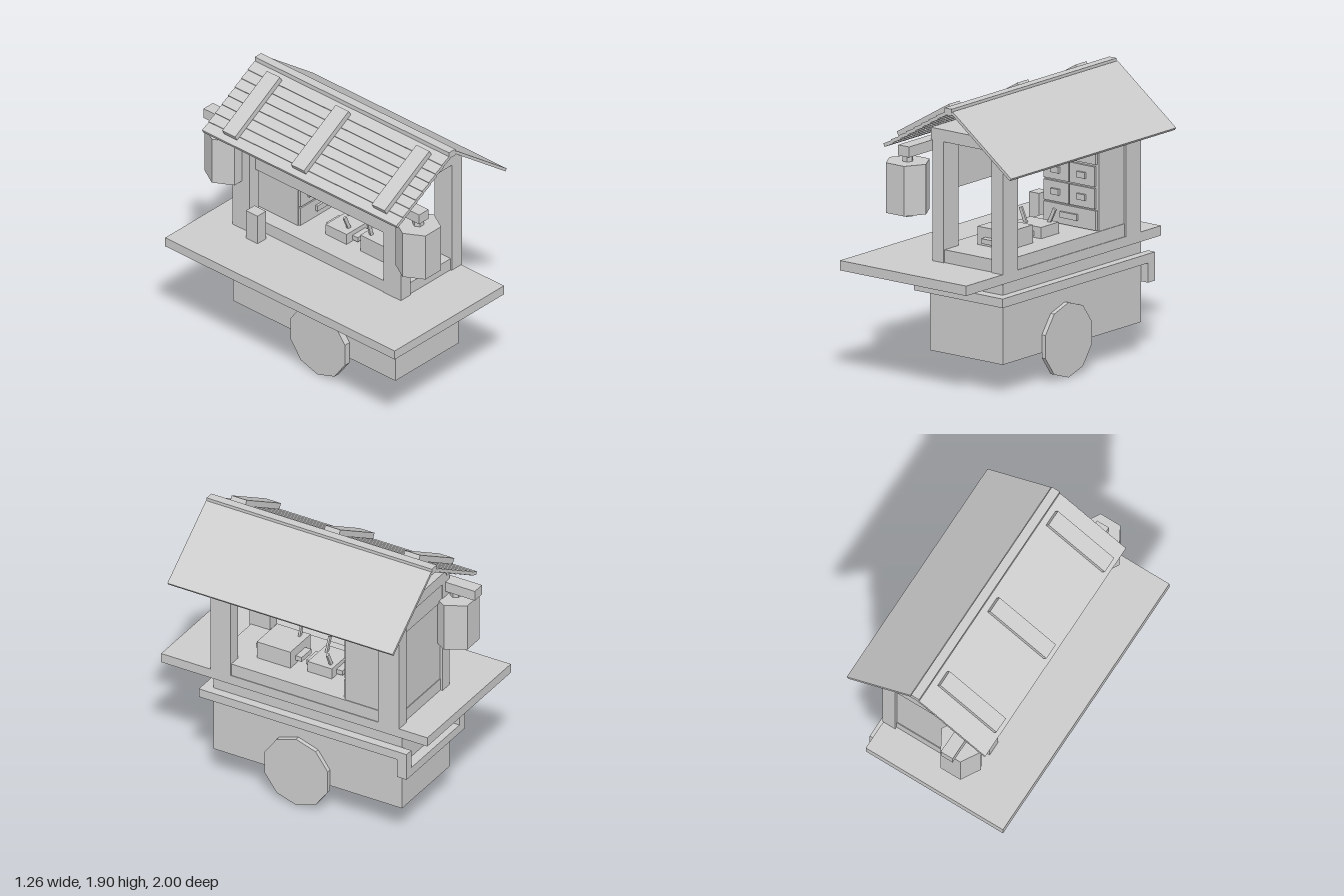
import * as THREE from 'three';

const grey = new THREE.MeshStandardMaterial({ color: 0xcccccc, flatShading: true });

// Add a geometry as a named mesh
function add(parent, name, geometry, x = 0, y = 0, z = 0) {
  const mesh = new THREE.Mesh(geometry, grey);
  mesh.name = name;
  mesh.position.set(x, y, z);
  parent.add(mesh);
  return mesh;
}

// Box given by its limits on each axis
function block(parent, name, x0, x1, y0, y1, z0, z1) {
  return add(parent, name, new THREE.BoxGeometry(x1 - x0, y1 - y0, z1 - z0),
    (x0 + x1) / 2, (y0 + y1) / 2, (z0 + z1) / 2);
}

function group(parent, name) {
  const g = new THREE.Group();
  g.name = name;
  parent.add(g);
  return g;
}

function buildCart(parent) {
  const cart = group(parent, 'cart');
  block(cart, 'cartBody', -0.2, 0.4, 0.2, 0.735, -0.79, 0.615);
  block(cart, 'counter', -0.63, 0.41, 0.735, 0.8, -0.985, 1.0);

  // Rail around the body, dropping to a push handle at the back
  block(cart, 'frontRail', -0.27, 0.46, 0.6, 0.66, 0.615, 0.69);
  for (const [x0, x1] of [[-0.27, -0.2], [0.4, 0.46]]) {
    block(cart, 'sideRail', x0, x1, 0.6, 0.66, -0.86, 0.615);
    block(cart, 'handlePost', x0, x1, 0.47, 0.6, -0.86, -0.79);
  }
  block(cart, 'handleBar', -0.2, 0.4, 0.47, 0.53, -0.86, -0.79);

  // Ten-sided wheels
  for (const [x, width] of [[-0.222, 0.044], [0.415, 0.03]]) {
    const wheel = new THREE.CylinderGeometry(0.248, 0.248, width, 10);
    wheel.rotateY(Math.PI / 2).rotateZ(Math.PI / 2);
    add(cart, 'wheel', wheel, x, 0.242, -0.018);
  }
}

function buildStall(parent) {
  const stall = group(parent, 'stall');
  block(stall, 'floor', -0.16, 0.405, 0.8, 0.885, -0.76, 0.62);

  // Corner posts
  block(stall, 'frontLeftPost', 0.32, 0.415, 0.8, 1.64, 0.48, 0.63);
  block(stall, 'frontRightPost', -0.165, -0.075, 0.8, 1.62, 0.48, 0.63);
  block(stall, 'backLeftPost', 0.32, 0.415, 0.8, 1.64, -0.775, -0.62);
  block(stall, 'backRightPost', -0.22, -0.13, 0.8, 1.64, -0.775, -0.63);

  // Walls and ceiling
  block(stall, 'backWall', -0.13, 0.32, 0.8, 1.6, -0.755, -0.71);
  block(stall, 'backHeader', -0.13, 0.32, 1.475, 1.6, -0.77, -0.74);
  block(stall, 'sideHeader', -0.16, -0.13, 1.25, 1.6, -0.63, 0.5);
  block(stall, 'ceiling', -0.18, 0.39, 1.6, 1.68, -0.775, 0.63);
  block(stall, 'counterBox', -0.285, -0.205, 0.8, 1.01, -0.6, -0.5);
}

function buildCabinet(parent) {
  const cabinet = group(parent, 'cabinet');
  block(cabinet, 'cabinetBody', -0.05, 0.4, 0.885, 1.475, -0.71, -0.365);
  const rows = [[0.89, 1.02, 1], [1.03, 1.165, 2], [1.177, 1.31, 2], [1.325, 1.465, 1]];
  for (const [y0, y1, columns] of rows) {
    for (let i = 0; i < columns; i++) {
      const x0 = -0.045 + i * 0.215;
      const x1 = columns === 1 ? 0.385 : x0 + 0.205;
      const x = (x0 + x1) / 2, y = (y0 + y1) / 2, half = columns === 1 ? 0.07 : 0.033;
      block(cabinet, 'drawer', x0, x1, y0, y1, -0.366, -0.348);
      block(cabinet, 'drawerPull', x - half, x + half, y - 0.02, y + 0.02, -0.348, -0.332);
    }
  }
}

// Food box with a pull at each end and leaning sticks
function buildFoodBox(parent, x0, x1, y1, z0, z1, pull, sticks) {
  const box = group(parent, 'foodBox');
  const x = (x0 + x1) / 2;
  block(box, 'boxBody', x0, x1, 0.885, y1, z0, z1);
  block(box, 'boxPulls', x - 0.06, x + 0.06, 0.91 - pull, 0.943 - pull, z0 - 0.045, z1 + 0.045);
  for (const [sx, sz, length, lean] of sticks) {
    const stick = add(box, 'stick', new THREE.BoxGeometry(0.024, length, 0.014), sx, y1 + length / 2 - 0.02, sz);
    stick.rotation.z = lean;
  }
}

function buildRoof(parent) {
  const roof = group(parent, 'roof');
  const zMid = -0.02, depth = 1.68;
  block(roof, 'ridgeBeam', 0.085, 0.145, 1.845, 1.89, -0.86, 0.82);

  // Plain sheet on the left slope
  const sheet = add(roof, 'plainSlope', new THREE.BoxGeometry(0.605, 0.02, depth), 0.387, 1.683, zMid);
  sheet.rotation.z = -Math.atan2(0.36, 0.475);

  // Overlapping planks with battens on the right slope
  const slope = group(roof, 'plankSlope');
  slope.position.set(-0.405, 1.555, zMid);
  slope.rotation.z = 0.532;
  const count = 8, step = 0.575 / count;
  for (let i = 0; i < count; i++) {
    const plank = add(slope, 'plank', new THREE.BoxGeometry(step + 0.006, 0.024, depth), (i + 0.5) * step, 0.006, 0);
    plank.rotation.z = -0.1;
  }
  for (const z of [-0.645, -0.05, 0.648]) {
    add(slope, 'batten', new THREE.BoxGeometry(0.495, 0.04, 0.112), 0.289, 0.043, z - zMid);
  }
}

// Six-sided lantern hanging from a bracket; side is 1 at the front, -1 at the back
function buildLantern(parent, side) {
  const lantern = group(parent, 'lantern');
  const x = -0.213, z = 0.825 * side;
  const prism = (name, radius, y0, y1) => {
    const geometry = new THREE.CylinderGeometry(radius, radius, y1 - y0, 6).rotateY(Math.PI / 6);
    add(lantern, name, geometry, x, (y0 + y1) / 2, z);
  };
  prism('lanternBody', 0.15, 1.162, 1.493);
  prism('lanternCap', 0.037, 1.493, 1.535);
  prism('lanternBase', 0.037, 1.13, 1.162);
  const [near, far] = side > 0 ? [0.5, 0.87] : [-0.995, -0.7];
  block(lantern, 'lanternBracket', -0.255, -0.165, 1.53, 1.6, near, far);
}

export function createModel() {
  const model = new THREE.Group();
  model.name = 'foodStall';
  buildCart(model);
  buildStall(model);
  buildCabinet(model);
  buildFoodBox(model, 0, 0.255, 1.005, 0.13, 0.38, 0, [[0.035, 0.18, 0.15, 0.28]]);
  buildFoodBox(model, -0.005, 0.23, 0.96, -0.165, 0.015, 0.015,
    [[0.05, -0.03, 0.12, 0.4], [0.2, -0.13, 0.12, -0.45]]);
  buildRoof(model);
  buildLantern(model, 1);
  buildLantern(model, -1);
  return model;
}
